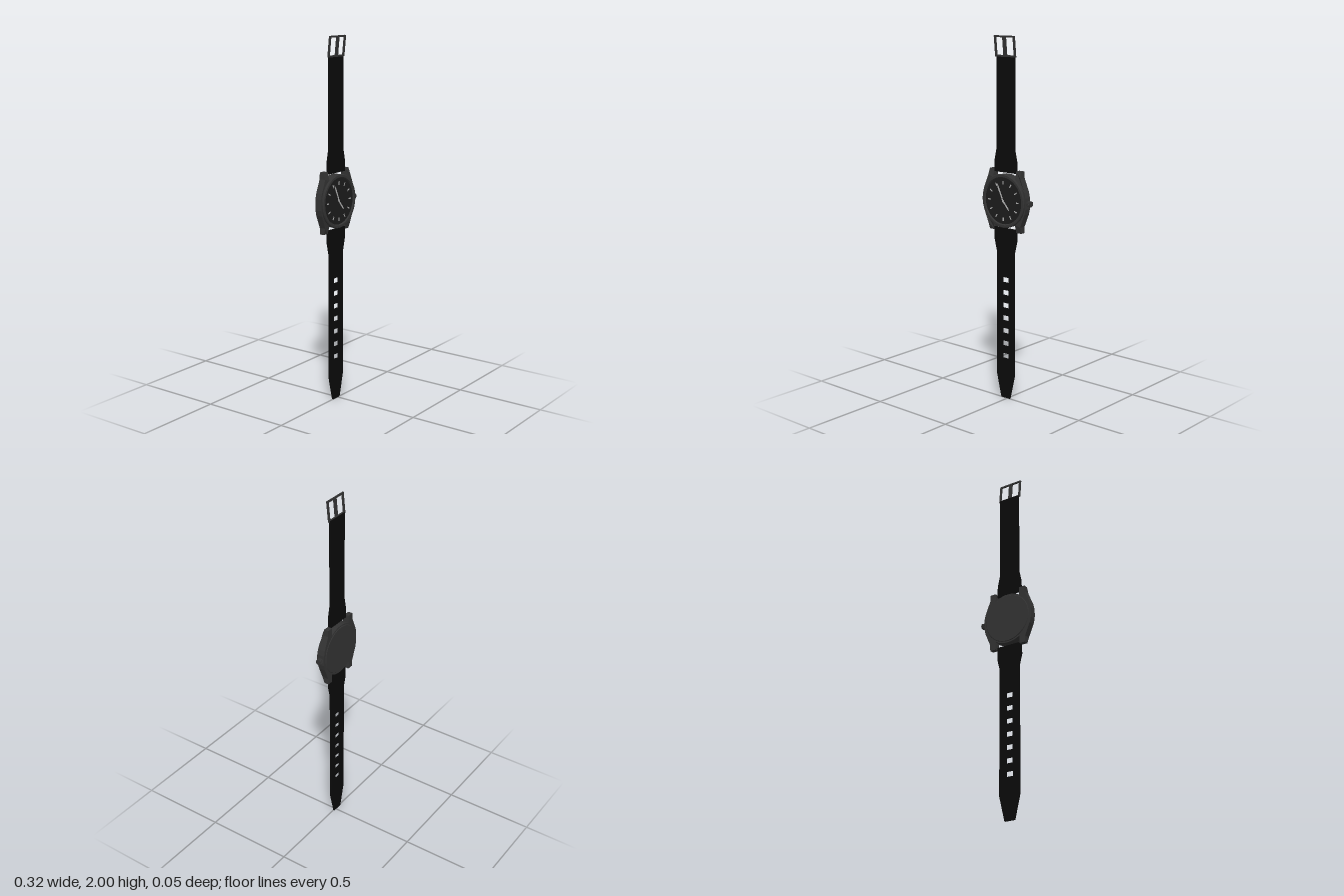
import * as THREE from 'three';

const CX = -0.013, CY = 1.122; // centre of the watch head
const mat = (color) => new THREE.MeshStandardMaterial({ color, flatShading: true });
const strapMat = mat(0x0a0a0a), caseMat = mat(0x333333), dialMat = mat(0x1c1c1c), lightMat = mat(0xb4b4b4);

function add(parent, name, geometry, material, x = 0, y = 0, z = 0) {
  const mesh = new THREE.Mesh(geometry, material);
  mesh.name = name;
  mesh.position.set(x, y, z);
  parent.add(mesh);
  return mesh;
}

const polygon = (points) => points.map(([x, y]) => new THREE.Vector2(x, y));
const rect = (x0, x1, y0, y1) => polygon([[x0, y0], [x1, y0], [x1, y1], [x0, y1]]);
const extrude = (shape, depth) => new THREE.ExtrudeGeometry(shape, { depth, bevelEnabled: false, curveSegments: 16 });

// Mirrors a right-hand profile (from bottom to top) into a closed outline
function mirrored(right) {
  return new THREE.Shape(polygon([...right, ...right.map(([x, y]) => [-x, y]).reverse()]));
}

// Middle case with four lugs, whose fronts slope back towards their tips
function caseGeometry() {
  const quarter = [[0.15, 0.03], [0.143, 0.06], [0.113, 0.132], [0.111, 0.168], [0.077, 0.168], [0.077, 0.123]];
  for (let i = 1; i <= 4; i++) {
    const a = 1.012 + (i / 5) * (Math.PI / 2 - 1.012);
    quarter.push([Math.cos(a) * 0.145, Math.sin(a) * 0.145]);
  }
  const right = [...quarter.map(([x, y]) => [x, -y]).reverse(), ...quarter];
  const geo = extrude(mirrored(right), 0.038);
  geo.translate(0, 0, -0.025);
  const p = geo.attributes.position;
  for (let i = 0; i < p.count; i++) {
    const y = Math.abs(p.getY(i));
    if (p.getZ(i) > 0 && y > 0.13 && Math.abs(p.getX(i)) > 0.07) {
      p.setZ(i, 0.013 - Math.min(1, (y - 0.13) / 0.038) * 0.012);
    }
  }
  geo.computeVertexNormals();
  return geo;
}

function lathe(points, segments = 48) {
  return new THREE.LatheGeometry(polygon(points), segments).rotateX(Math.PI / 2);
}

function buildHead() {
  const head = new THREE.Group();
  head.name = 'watchHead';
  head.position.set(CX, CY, 0);

  add(head, 'case', caseGeometry(), caseMat);
  add(head, 'caseBack', lathe([[0, -0.028], [0.134, -0.028], [0.138, -0.024]].map(([r, z]) => [r, z])), caseMat)
    .material = Object.assign(caseMat.clone(), { side: THREE.DoubleSide });
  const bezel = lathe([[0.146, 0.012], [0.147, 0.021], [0.143, 0.025], [0.131, 0.025], [0.126, 0.018]]);
  add(head, 'bezel', bezel, Object.assign(caseMat.clone(), { side: THREE.DoubleSide }));
  add(head, 'dial', new THREE.CylinderGeometry(0.129, 0.129, 0.008, 48).rotateX(Math.PI / 2), dialMat, 0, 0, 0.0145);

  // Hour markers
  for (let i = 0; i < 12; i++) {
    const a = (i / 12) * Math.PI * 2;
    const marker = add(head, 'hourMarker', new THREE.BoxGeometry(0.006, 0.019, 0.002), lightMat,
      Math.sin(a) * 0.099, Math.cos(a) * 0.099, 0.019);
    marker.rotation.z = -a;
  }

  // Hands pivot at the dial centre
  const hand = (name, length, width, angle, z) => {
    const shape = new THREE.Shape(polygon([[-width * 0.35, -0.012], [width * 0.35, -0.012],
      [width / 2, length * 0.75], [0, length], [-width / 2, length * 0.75]]));
    add(head, name, extrude(shape, 0.0015), lightMat, 0, 0, z).rotation.z = angle;
  };
  hand('minuteHand', 0.103, 0.009, 0.43, 0.021);
  hand('hourHand', 0.067, 0.009, -2.44, 0.0195);
  add(head, 'handPin', new THREE.CylinderGeometry(0.005, 0.005, 0.006, 12).rotateX(Math.PI / 2), lightMat, 0, 0, 0.0205);

  // Crown with a ribbed outline on a plain collar
  const ribs = [];
  for (let i = 0; i < 32; i++) {
    const a = (i / 32) * Math.PI * 2, r = i % 2 ? 0.0145 : 0.0165;
    ribs.push([Math.cos(a) * r, Math.sin(a) * r]);
  }
  const crown = extrude(new THREE.Shape(polygon(ribs)), 0.021).rotateY(Math.PI / 2);
  add(head, 'crown', crown, caseMat, 0.154, 0, -0.006);
  add(head, 'crownCollar', new THREE.CylinderGeometry(0.011, 0.011, 0.02, 16).rotateZ(Math.PI / 2), caseMat, 0.148, 0, -0.006);

  // Pins holding the straps between the lugs
  for (const s of [1, -1]) {
    add(head, 'springBar', new THREE.CylinderGeometry(0.004, 0.004, 0.16, 10).rotateZ(Math.PI / 2), caseMat, 0, s * 0.158, -0.003);
  }
  return head;
}

function buildStraps(group) {
  const upper = mirrored([[0.077, 1.275], [0.076, 1.34], [0.062, 1.405], [0.062, 1.895]]);
  add(group, 'upperStrap', extrude(upper, 0.009), strapMat, CX, 0, -0.007);

  const lower = mirrored([[0.03, 0], [0.062, 0.135], [0.062, 0.84], [0.077, 0.9], [0.077, 0.97]]);
  for (let i = 0; i < 7; i++) {
    const y = 0.245 + i * 0.0725;
    lower.holes.push(new THREE.Path(rect(-0.021, 0.021, y - 0.015, y + 0.015)));
  }
  add(group, 'lowerStrap', extrude(lower, 0.009), strapMat, CX, 0, -0.007);
}

// Buckle frame and prong, leaning slightly forward
function buildBuckle() {
  const buckle = new THREE.Group();
  buckle.name = 'buckle';
  buckle.position.set(CX, 1.889, -0.005);
  buckle.rotation.x = 0.1;
  const frame = new THREE.Shape(rect(-0.07, 0.07, 0, 0.111));
  frame.holes.push(new THREE.Path(rect(-0.059, 0.059, 0.009, 0.102)));
  add(buckle, 'buckleFrame', extrude(frame, 0.008), caseMat);
  add(buckle, 'buckleProng', new THREE.BoxGeometry(0.023, 0.106, 0.006), caseMat, 0, 0.054, 0.006);
  return buckle;
}

export function createModel() {
  const group = new THREE.Group();
  group.name = 'wristwatch';
  group.add(buildHead(), buildBuckle());
  buildStraps(group);
  return group;
}
